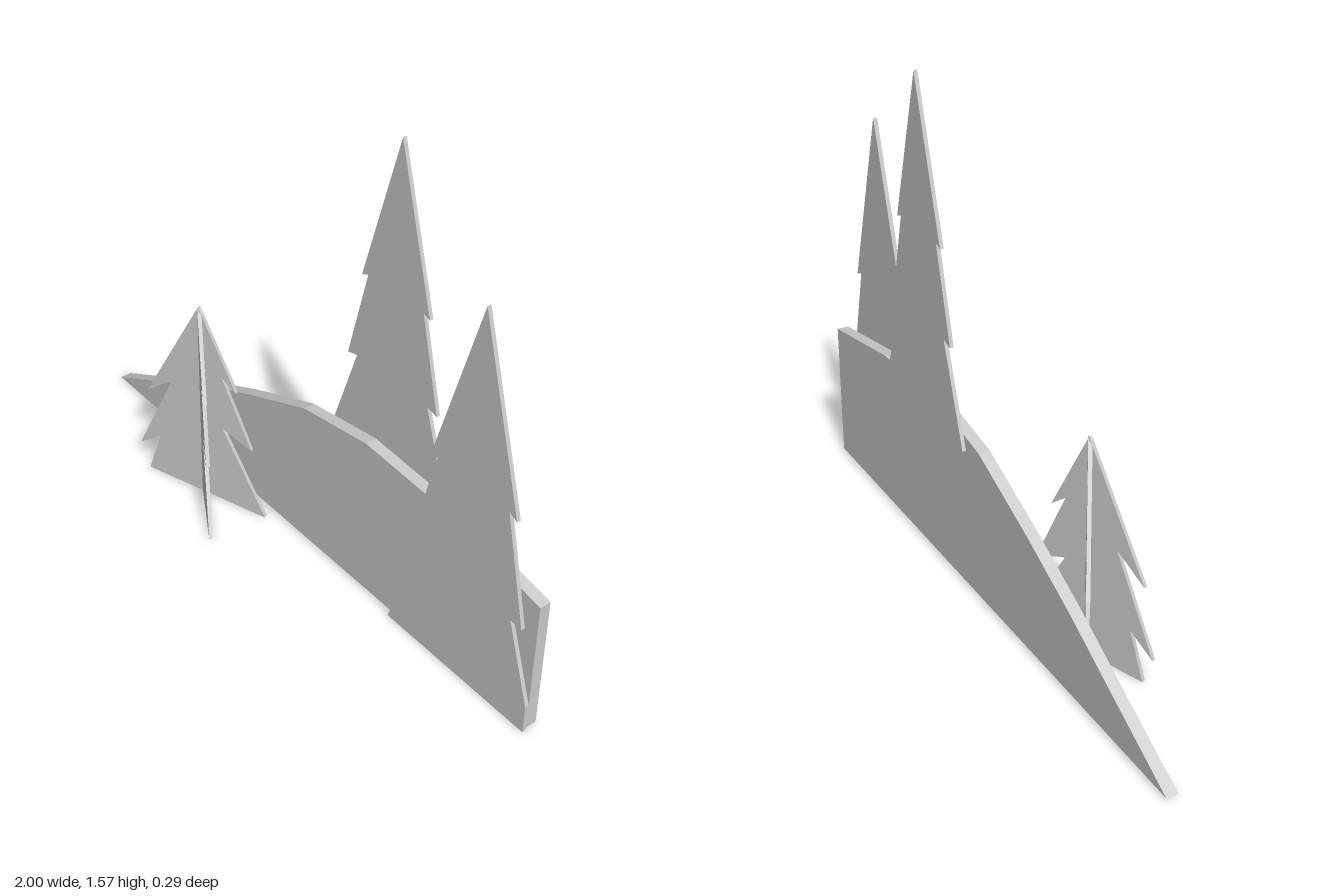
import * as THREE from 'three';

const material = new THREE.MeshStandardMaterial({ color: 0xcccccc, flatShading: true });

// Flat cut-out board with the given outline, from z = back to z = front
function board(name, outline, back, front) {
  const shape = new THREE.Shape(outline.map(([x, y]) => new THREE.Vector2(x, y)));
  const geometry = new THREE.ExtrudeGeometry(shape, { depth: front - back, bevelEnabled: false });
  geometry.translate(0, 0, back);
  const mesh = new THREE.Mesh(geometry, material);
  mesh.name = name;
  return mesh;
}

// Symmetric tree outline from half widths, listed from the tip down
function mirrored(cx, half) {
  const right = half.map(([w, y]) => [cx + w, y]);
  const left = half.slice(1).reverse().map(([w, y]) => [cx - w, y]);
  return [...right, ...left];
}

export function createModel() {
  const model = new THREE.Group();
  model.name = 'treeScenery';

  // Hillside panel
  model.add(board('hill', [
    [-1, 0.01], [1, 0.01], [1, 0.47], [0.64, 0.54], [0.55, 0.547],
    [0.29, 0.56], [0.01, 0.51], [-0.27, 0.39], [-0.5, 0.28],
  ], -0.135, -0.098));

  // Tall tree fixed to the back of the hill
  model.add(board('backTree', mirrored(0.343, [
    [0, 1.565], [0.137, 1.08], [0.112, 1.09], [0.186, 0.79], [0.147, 0.8], [0.253, 0.48],
  ]), -0.147, -0.135));

  // Tree on the front of the hill, trimmed flush with its end
  model.add(board('frontTree', [
    [0.73, 1.29], [0.565, 0.705], [0.595, 0.72], [0.505, 0.36], [0.55, 0.365], [0.43, 0],
    [1, 0], [1, 0.1], [0.912, 0.365], [0.955, 0.36], [0.87, 0.72], [0.9, 0.705],
  ].reverse(), -0.098, -0.085));

  // Free-standing tree of two crossed boards
  const crossedTree = new THREE.Group();
  crossedTree.name = 'crossedTree';
  const outline = [
    [0, 0.72], [-0.207, 0.32], [-0.108, 0.4], [-0.245, 0.09], [-0.163, 0.155], [-0.212, 0],
    [0.236, 0], [0.08, 0.29], [0.186, 0.25], [0.08, 0.49], [0.132, 0.45],
  ].reverse();
  for (const angle of [0.328, -0.542]) {
    const half = board('treeBoard', outline, -0.006, 0.006);
    half.rotation.y = angle;
    crossedTree.add(half);
  }
  crossedTree.position.set(-0.357, 0, 0.012);
  model.add(crossedTree);

  return model;
}
